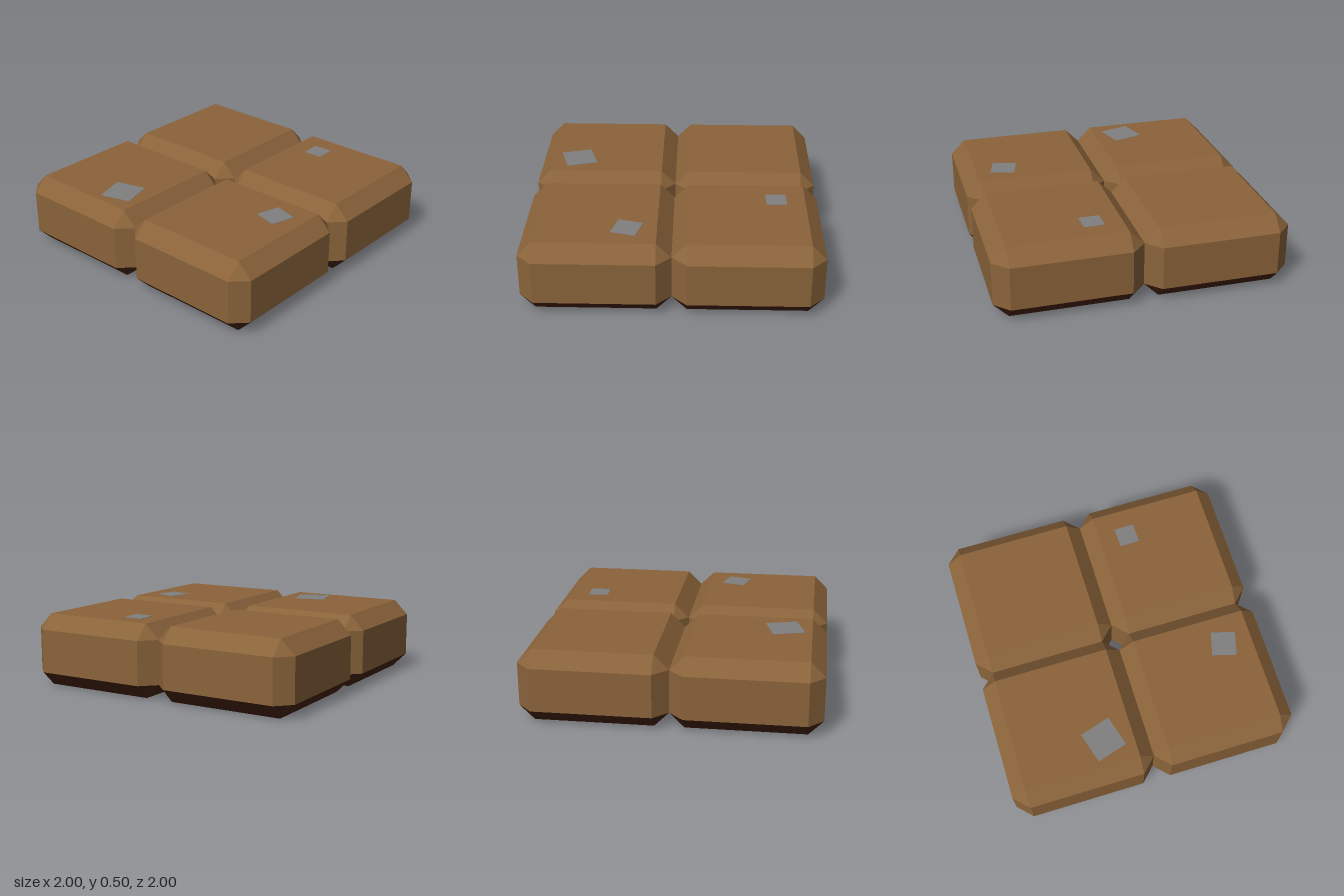
import * as THREE from 'three';

// Chamfered block, 1 x 0.5 x 1: material group 0 = top and sides, group 1 = underside
function blockGeometry(half, height, c) {
  const ring = (y, cut) => {
    const h = half, i = half - c, s = cut ? h : i;
    // eight points around the block, counter-clockwise seen from above
    return [[s, i], [s, -i], [i, -s], [-i, -s], [-s, -i], [-s, i], [-i, s], [i, s]]
      .map(([x, z]) => new THREE.Vector3(x, y, z));
  };
  const rings = [ring(0, false), ring(c, true), ring(height - c, true), ring(height, false)];
  const pos = [];
  const tri = (a, b, d) => {
    if (a.equals(b) || b.equals(d) || a.equals(d)) return;
    for (const p of [a, b, d]) pos.push(p.x, p.y, p.z);
  };
  const band = (lo, hi) => {
    for (let k = 0; k < 8; k++) {
      const n = (k + 1) % 8;
      tri(lo[k], lo[n], hi[n]);
      tri(lo[k], hi[n], hi[k]);
    }
  };
  // sides, upper chamfer and top
  band(rings[1], rings[2]);
  band(rings[2], rings[3]);
  const t = rings[3], b = rings[0];
  tri(t[0], t[2], t[4]);
  tri(t[0], t[4], t[6]);
  const split = pos.length / 3;
  // lower chamfer and bottom
  band(rings[0], rings[1]);
  tri(b[0], b[4], b[2]);
  tri(b[0], b[6], b[4]);

  const geo = new THREE.BufferGeometry();
  geo.setAttribute('position', new THREE.Float32BufferAttribute(pos, 3));
  geo.addGroup(0, split, 0);
  geo.addGroup(split, pos.length / 3 - split, 1);
  geo.computeVertexNormals();
  return geo;
}

export function createModel() {
  const brown = new THREE.MeshStandardMaterial({ color: 0x8a633a });
  brown.name = 'brown';
  const darkBrown = new THREE.MeshStandardMaterial({ color: 0x462310 });
  darkBrown.name = 'darkBrown';
  const grey = new THREE.MeshStandardMaterial({ color: 0x808080 });
  grey.name = 'grey';

  const group = new THREE.Group();
  group.name = 'pavingBlocks';

  // Four blocks in a square
  const geo = blockGeometry(0.5, 0.5, 0.1);
  for (const x of [-0.5, 0.5]) {
    for (const z of [-0.5, 0.5]) {
      const block = new THREE.Mesh(geo, [brown, darkBrown]);
      block.name = (z > 0 ? 'front' : 'back') + (x > 0 ? 'Left' : 'Right') + 'Block';
      block.position.set(x, 0, z);
      group.add(block);
    }
  }

  // Grey patches on the tops: x, z, size, turn
  const patches = [
    [-0.715, -0.303, 0.22, 0.285],
    [-0.3, 0.7, 0.17, -0.27],
    [0.7, 0.3, 0.14, 0.03],
  ];
  patches.forEach(([x, z, size, turn], i) => {
    const patch = new THREE.Mesh(new THREE.BoxGeometry(size, 0.004, size), grey);
    patch.name = 'stonePatch' + (i + 1);
    patch.position.set(x, 0.5, z);
    patch.rotation.y = turn;
    group.add(patch);
  });

  return group;
}
